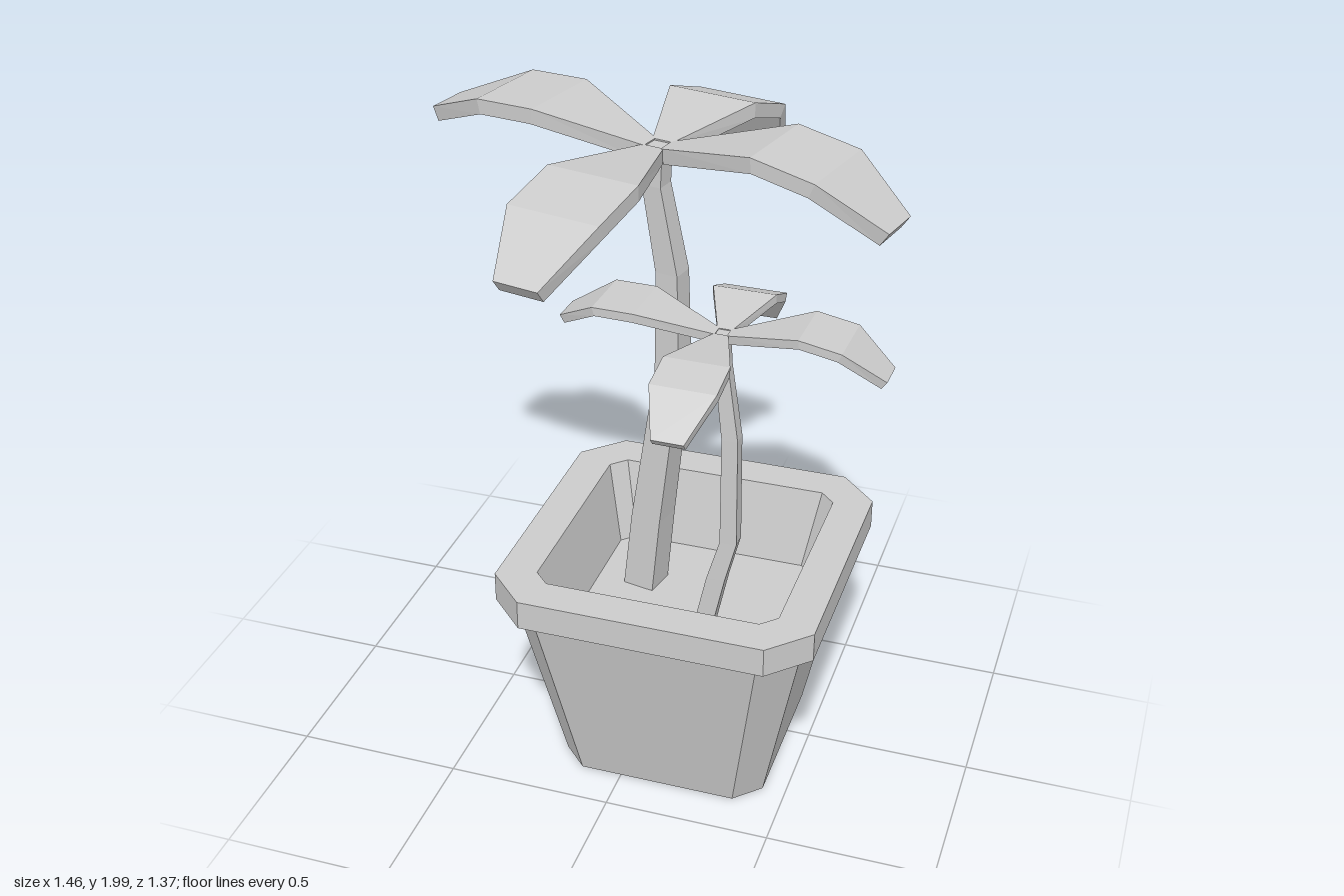
import * as THREE from 'three';

const V = (x, y, z) => new THREE.Vector3(x, y, z);
const material = new THREE.MeshStandardMaterial({ color: 0xcccccc, flatShading: true });

// Skins a list of rings (counter-clockwise seen from the end), with optional flat caps.
function loft(name, rings, capStart = true, capEnd = true) {
  const pos = [];
  const tri = (...pts) => pts.forEach((p) => pos.push(p.x, p.y, p.z));
  const n = rings[0].length;
  for (let k = 0; k + 1 < rings.length; k++) {
    for (let i = 0; i < n; i++) {
      const j = (i + 1) % n;
      const [a, b, c, d] = [rings[k][i], rings[k][j], rings[k + 1][j], rings[k + 1][i]];
      tri(a, b, c);
      tri(a, c, d);
    }
  }
  const first = rings[0], last = rings[rings.length - 1];
  for (let i = 1; i + 1 < n; i++) {
    if (capStart) tri(first[0], first[i + 1], first[i]);
    if (capEnd) tri(last[0], last[i], last[i + 1]);
  }
  const geometry = new THREE.BufferGeometry();
  geometry.setAttribute('position', new THREE.Float32BufferAttribute(pos, 3));
  geometry.computeVertexNormals();
  const mesh = new THREE.Mesh(geometry, material);
  mesh.name = name;
  return mesh;
}

// Square with cut corners, h = half width, c = corner cut.
function cutSquare(y, h, c) {
  const k = h - c;
  return [[-k, h], [k, h], [h, k], [h, -k], [k, -h], [-k, -h], [-h, -k], [-h, k]]
    .map(([x, z]) => V(x + 0.115, y, z + 0.05));
}

// Four-sided trunk through points [x, y, z, width].
function trunk(name, stations, turn) {
  return loft(name, stations.map(([x, y, z, w]) =>
    [0, 1, 2, 3].map((i) => {
      const a = turn + (i - 0.5) * Math.PI / 2;
      return V(x + Math.sin(a) * w * Math.SQRT1_2, y, z + Math.cos(a) * w * Math.SQRT1_2);
    })));
}

// Arched slab leaf; the spine runs along the middle of its upper face.
function leaf(name, spine, widths, thickness) {
  const pts = spine.map((p) => V(...p));
  const out = pts[pts.length - 1].clone().sub(pts[0]).setY(0).normalize();
  const side = V(out.z, 0, -out.x);
  return loft(name, pts.map((p, i) => {
    const t = pts[Math.min(i + 1, pts.length - 1)].clone().sub(pts[Math.max(i - 1, 0)]);
    t.addScaledVector(side, -t.dot(side)).normalize();
    const up = t.clone().cross(side);
    const at = (s, d) => p.clone().addScaledVector(side, s * widths[i] / 2).addScaledVector(up, -d);
    return [at(1, thickness), at(1, 0), at(-1, 0), at(-1, thickness)];
  }));
}

// Trunk plus four leaves growing from its top.
function palm(name, { stations, turn, root, leaves, widths, thickness }) {
  const group = new THREE.Group();
  group.name = name;
  group.add(trunk('trunk', stations, turn));
  for (const [side, points] of Object.entries(leaves)) {
    const [x, y, z] = root;
    const dir = V(points[0][0] - x, 0, points[0][2] - z).setLength(widths[0] * 0.4);
    group.add(leaf(side + 'Leaf', [[x + dir.x, y, z + dir.z], ...points], widths, thickness));
  }
  return group;
}

export function createModel() {
  const model = new THREE.Group();
  model.name = 'pottedPalms';

  // Tapered pot with an overhanging rim and a hollow inside
  model.add(loft('pot', [
    cutSquare(0, 0.315, 0.075),
    cutSquare(0.61, 0.44, 0.105),
    cutSquare(0.61, 0.48, 0.115),
    cutSquare(0.7, 0.48, 0.115),
    cutSquare(0.7, 0.365, 0.045),
    cutSquare(0.45, 0.315, 0.04),
  ], true, false));
  model.add(loft('soil', [cutSquare(0.45, 0.315, 0.04)], false, true));

  // Tall palm
  model.add(palm('tallPalm', {
    stations: [
      [-0.055, 0.44, -0.045, 0.1], [-0.03, 0.7, -0.045, 0.097], [0.035, 1.21, -0.037, 0.08],
      [0.03, 1.53, -0.038, 0.07], [-0.018, 1.79, -0.04, 0.06], [-0.015, 1.9, -0.045, 0.06],
    ],
    turn: -0.2,
    root: [-0.015, 1.905, -0.045],
    leaves: {
      left: [[0.335, 1.985, 0.03], [0.52, 1.95, 0.07], [0.7, 1.825, 0.11]],
      right: [[-0.33, 1.985, -0.12], [-0.51, 1.98, -0.16], [-0.715, 1.895, -0.205]],
      front: [[-0.085, 1.935, 0.29], [-0.125, 1.895, 0.48], [-0.165, 1.765, 0.65]],
      back: [[0.05, 1.95, -0.345], [0.09, 1.885, -0.53], [0.125, 1.635, -0.675]],
    },
    widths: [0.065, 0.28, 0.28, 0.135],
    thickness: 0.045,
  }));

  // Short palm
  model.add(palm('shortPalm', {
    stations: [
      [0.2, 0.44, 0.217, 0.056], [0.255, 0.7, 0.217, 0.055], [0.29, 0.83, 0.217, 0.05],
      [0.288, 1.17, 0.217, 0.047], [0.258, 1.4, 0.215, 0.04], [0.255, 1.49, 0.213, 0.04],
    ],
    turn: 0,
    root: [0.255, 1.493, 0.213],
    leaves: {
      left: [[0.49, 1.55, 0.215], [0.61, 1.53, 0.22], [0.725, 1.445, 0.225]],
      right: [[0.03, 1.55, 0.205], [-0.09, 1.55, 0.2], [-0.205, 1.485, 0.195]],
      front: [[0.25, 1.515, 0.44], [0.25, 1.495, 0.56], [0.245, 1.4, 0.675]],
      back: [[0.258, 1.525, 0.01], [0.26, 1.48, -0.1], [0.262, 1.375, -0.19]],
    },
    widths: [0.042, 0.185, 0.185, 0.09],
    thickness: 0.026,
  }));

  return model;
}
